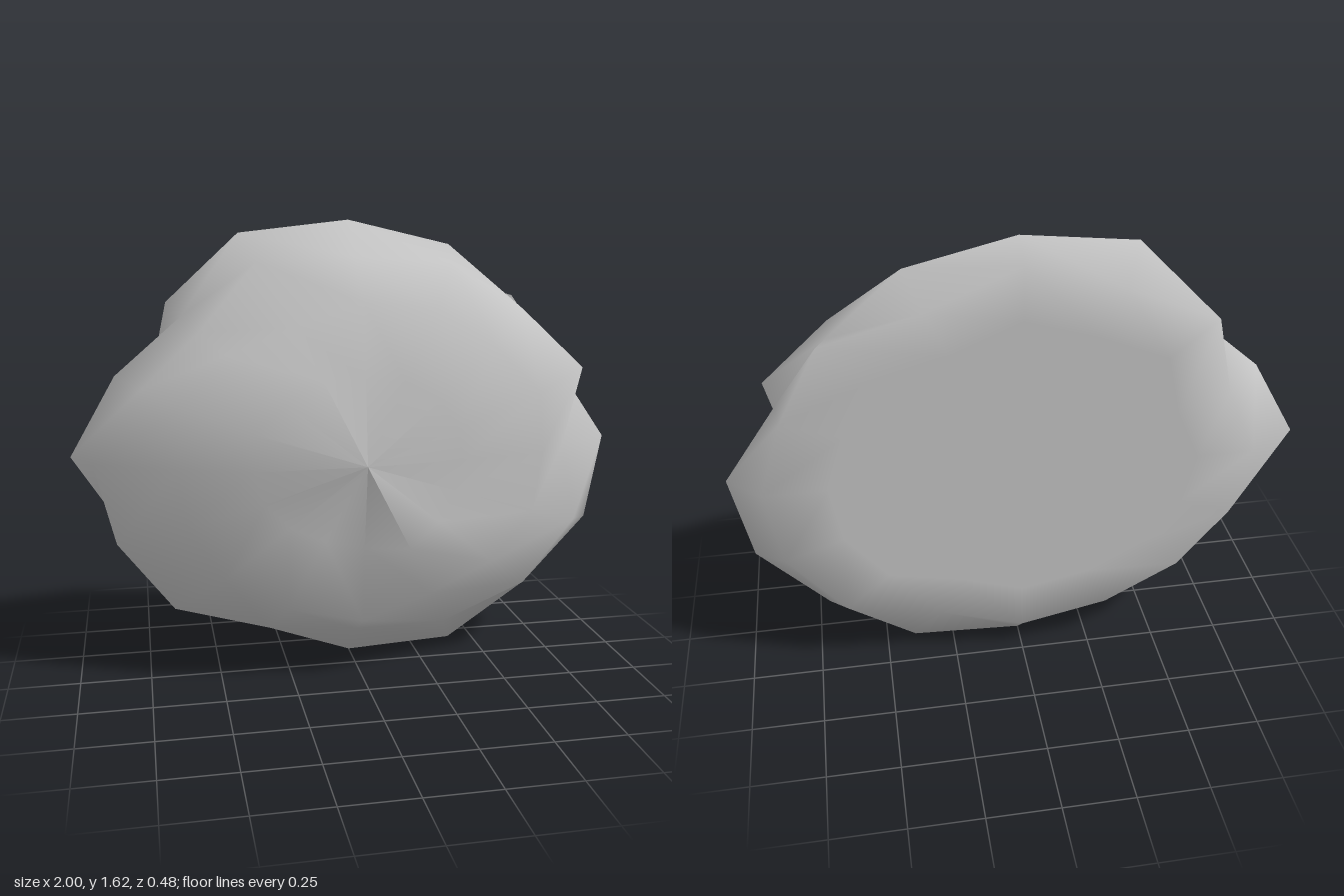
import * as THREE from 'three';

const SIDES = 16, CENTRE_Y = 0.8, SQUASH = 0.82;

// Cross-sections from flat back to domed front: one radius per side, depth per ring
const BACK = [0.88, 0.86, 0.925, 0.83, 0.93, 0.87, 0.915, 0.77, 0.82, 0.82, 0.82, 0.82, 0.84, 0.78, 0.9, 0.9];
const RINGS = [
  { z: -0.24, r: BACK.map((r) => r * 0.75) },
  { z: -0.24, r: BACK },
  { z: -0.13, r: [1, 0.875, 0.88, 0.967, 1, 1.025, 0.845, 0.905, 1, 0.89, 0.91, 0.83, 0.976, 1.03, 0.99, 1.017] },
  { z: 0.01, r: [0.78, 0.92, 0.87, 0.89, 0.85, 0.9, 0.77, 0.81, 0.92, 0.92, 0.93, 0.84, 0.81, 0.87, 0.91, 0.91] },
  { z: [0.13, 0.13, 0.135, 0.14, 0.15, 0.14, 0.15, 0.15, 0.14, 0.13, 0.14, 0.14, 0.15, 0.13, 0.13, 0.13],
    r: [0.66, 0.7, 0.67, 0.69, 0.67, 0.62, 0.66, 0.67, 0.64, 0.66, 0.69, 0.69, 0.71, 0.66, 0.68, 0.68] },
  { z: [0.18, 0.18, 0.19, 0.19, 0.19, 0.225, 0.23, 0.24, 0.23, 0.21, 0.18, 0.17, 0.175, 0.24, 0.2, 0.18],
    r: [0.35, 0.36, 0.37, 0.37, 0.36, 0.4, 0.39, 0.42, 0.39, 0.38, 0.37, 0.36, 0.37, 0.39, 0.37, 0.35] },
];

function rockGeometry() {
  const pos = [], index = [];
  RINGS.forEach(({ z, r }) => {
    for (let j = 0; j < SIDES; j++) {
      const a = (j / SIDES) * Math.PI * 2;
      pos.push(r[j] * Math.cos(a), CENTRE_Y + SQUASH * r[j] * Math.sin(a), Array.isArray(z) ? z[j] : z);
    }
  });
  const back = pos.length / 3, tip = back + 1;
  pos.push(0, CENTRE_Y, -0.24);

  const last = (RINGS.length - 1) * SIDES;
  for (let j = 0; j < SIDES; j++) {
    const k = (j + 1) % SIDES;
    for (let i = 0; i < last; i += SIDES) {
      index.push(i + j, i + k, i + SIDES + j, i + k, i + SIDES + k, i + SIDES + j);
    }
    // Each front wedge keeps its own tip, so creases radiate from the centre
    pos.push(0, CENTRE_Y, 0.225);
    index.push(last + j, last + k, tip + j);
    index.push(k, j, back); // flat back
  }

  const geo = new THREE.BufferGeometry();
  geo.setAttribute('position', new THREE.Float32BufferAttribute(pos, 3));
  geo.setIndex(index);
  geo.computeVertexNormals();
  return geo;
}

export function createModel() {
  const group = new THREE.Group();
  group.name = 'rock';
  const stone = new THREE.MeshStandardMaterial({ color: 0xc6c6c6 });
  stone.name = 'stone grey';
  const body = new THREE.Mesh(rockGeometry(), stone);
  body.name = 'rockBody';
  group.add(body);
  return group;
}
